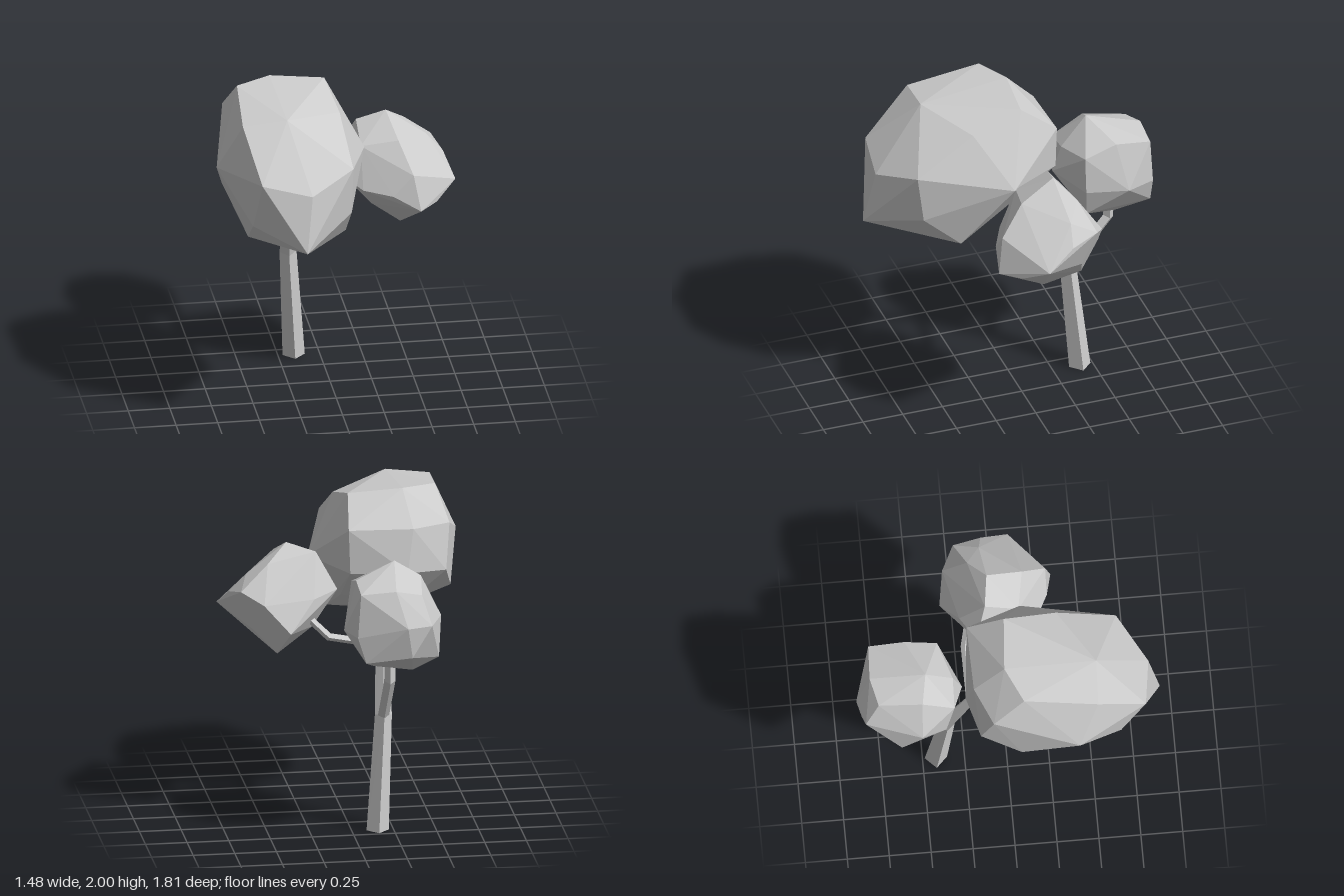
import * as THREE from 'three';
import { ConvexGeometry } from 'three/addons/geometries/ConvexGeometry.js';

const grey = new THREE.MeshStandardMaterial({ color: 0xcccccc, flatShading: true });
grey.name = 'plain grey';

const V = (x, y, z) => new THREE.Vector3(x, y, z);

function part(name, geometry) {
  const mesh = new THREE.Mesh(geometry, grey);
  mesh.name = name;
  return mesh;
}

// Faceted clump of leaves around a few corner points
const foliage = (name, corners) => part(name, new ConvexGeometry(corners.map((c) => V(...c))));

// Four-sided tapering limb through points [x, y, z, radius]
function limb(name, points, reference) {
  const centres = points.map(([x, y, z]) => V(x, y, z));
  const positions = [], index = [];
  const last = points.length - 1;
  centres.forEach((c, i) => {
    const tangent = new THREE.Vector3();
    if (c.y === 0) tangent.set(0, 1, 0);
    else {
      if (i > 0) tangent.add(c.clone().sub(centres[i - 1]).normalize());
      if (i < last) tangent.add(centres[i + 1].clone().sub(c).normalize());
      tangent.normalize();
    }
    const u = reference.clone().addScaledVector(tangent, -reference.dot(tangent)).normalize();
    const v = tangent.clone().cross(u);
    for (let k = 0; k < 4; k++) {
      const a = k * Math.PI / 2, r = points[i][3];
      const p = c.clone().addScaledVector(u, r * Math.cos(a)).addScaledVector(v, r * Math.sin(a));
      positions.push(p.x, p.y, p.z);
      if (i < last) {
        const p0 = i * 4 + k, p1 = i * 4 + (k + 1) % 4;
        index.push(p0, p1, p1 + 4, p0, p1 + 4, p0 + 4);
      }
    }
  });
  const e = last * 4;
  index.push(0, 2, 1, 0, 3, 2, e, e + 1, e + 2, e, e + 2, e + 3);
  let geometry = new THREE.BufferGeometry();
  geometry.setAttribute('position', new THREE.Float32BufferAttribute(positions, 3));
  geometry.setIndex(index);
  geometry = geometry.toNonIndexed();
  geometry.computeVertexNormals();
  return part(name, geometry);
}

export function createModel() {
  const tree = new THREE.Group();
  tree.name = 'tree';

  // Leaning trunk that bends forward into the crown, and two side branches
  tree.add(limb('trunk', [
    [-0.155, 0, -0.42, 0.067], [-0.198, 0.7, -0.36, 0.051],
    [-0.21, 1.1, -0.215, 0.038], [-0.25, 1.32, 0.12, 0.028],
  ], V(1, 0, 0)));
  tree.add(limb('backBranch', [
    [-0.197, 0.7, -0.375, 0.034], [-0.2, 0.99, -0.615, 0.034], [-0.2, 1.2, -0.62, 0.03],
  ], V(1, 0, 0)));
  tree.add(limb('leftBranch', [
    [-0.21, 1.09, -0.22, 0.024], [0.11, 1.155, -0.225, 0.024], [0.24, 1.28, -0.19, 0.022],
  ], V(0, 0, 1)));

  // Large uneven crown: top, front, underside, back
  tree.add(foliage('mainFoliage', [
    [-0.57, 1.99, 0.07], [-0.36, 2.0, -0.03], [-0.035, 1.975, -0.005],
    [-0.6, 1.915, 0.51], [-0.335, 1.945, 0.52], [0.01, 1.885, 0.31],
    [-0.74, 1.61, 0.39], [-0.525, 1.65, 0.8], [-0.23, 1.58, 0.84],
    [0.04, 1.67, 0.67], [0.19, 1.56, 0.11], [-0.27, 1.24, 0.905],
    [0.035, 1.37, 0.63], [-0.56, 1.33, 0.65], [-0.27, 1.09, 0.495],
    [0.035, 1.155, 0.395], [-0.56, 1.175, 0.45], [-0.66, 1.36, 0.05],
    [-0.38, 1.31, -0.1], [-0.01, 1.3, 0.13], [-0.4, 1.8, -0.215],
    [-0.63, 1.8, -0.115], [-0.6, 1.53, -0.19], [-0.36, 1.54, -0.26],
    [-0.01, 1.81, -0.225], [-0.02, 1.54, -0.22],
  ]));

  // Left clump, flattened on its upper outer side
  tree.add(foliage('leftFoliage', [
    [0.345, 1.71, -0.075], [0.39, 1.6, 0.14], [0.47, 1.61, -0.18],
    [0.59, 1.53, -0.1], [0.69, 1.42, -0.08], [0.74, 1.305, 0.085],
    [0.46, 1.43, 0.285], [0.34, 1.3, 0.285], [0.5, 1.21, 0.32],
    [0.61, 1.22, 0.21], [0.42, 1.02, 0.01], [0.235, 1.185, 0.1],
    [0.09, 1.36, 0.13], [0.17, 1.315, 0.2], [0.17, 1.56, 0.1],
    [0.17, 1.65, -0.1], [0.05, 1.43, -0.16], [0.2, 1.4, -0.25],
    [0.355, 1.22, -0.355], [0.51, 1.395, -0.325], [0.64, 1.465, -0.25],
    [0.56, 1.21, -0.18], [0.42, 1.065, -0.225], [0.2, 1.2, -0.15],
  ]));

  // Back clump: top, middle, underside
  tree.add(foliage('backFoliage', [
    [-0.245, 1.7, -0.49], [0, 1.62, -0.595], [0, 1.595, -0.81],
    [-0.21, 1.61, -0.82], [-0.37, 1.57, -0.78], [-0.4, 1.61, -0.52],
    [0, 1.555, -0.4], [-0.22, 1.53, -0.325], [-0.4, 1.5, -0.33],
    [0.08, 1.33, -0.65], [0.02, 1.33, -0.4], [0.02, 1.33, -0.82],
    [-0.27, 1.4, -0.905], [-0.42, 1.4, -0.86], [-0.52, 1.36, -0.53],
    [-0.22, 1.37, -0.27], [-0.3, 1.21, -0.875], [-0.03, 1.17, -0.82],
    [-0.1, 1.09, -0.62], [-0.03, 1.15, -0.42], [-0.335, 1.055, -0.62],
    [-0.49, 1.14, -0.65], [-0.42, 1.2, -0.38],
  ]));

  return tree;
}
